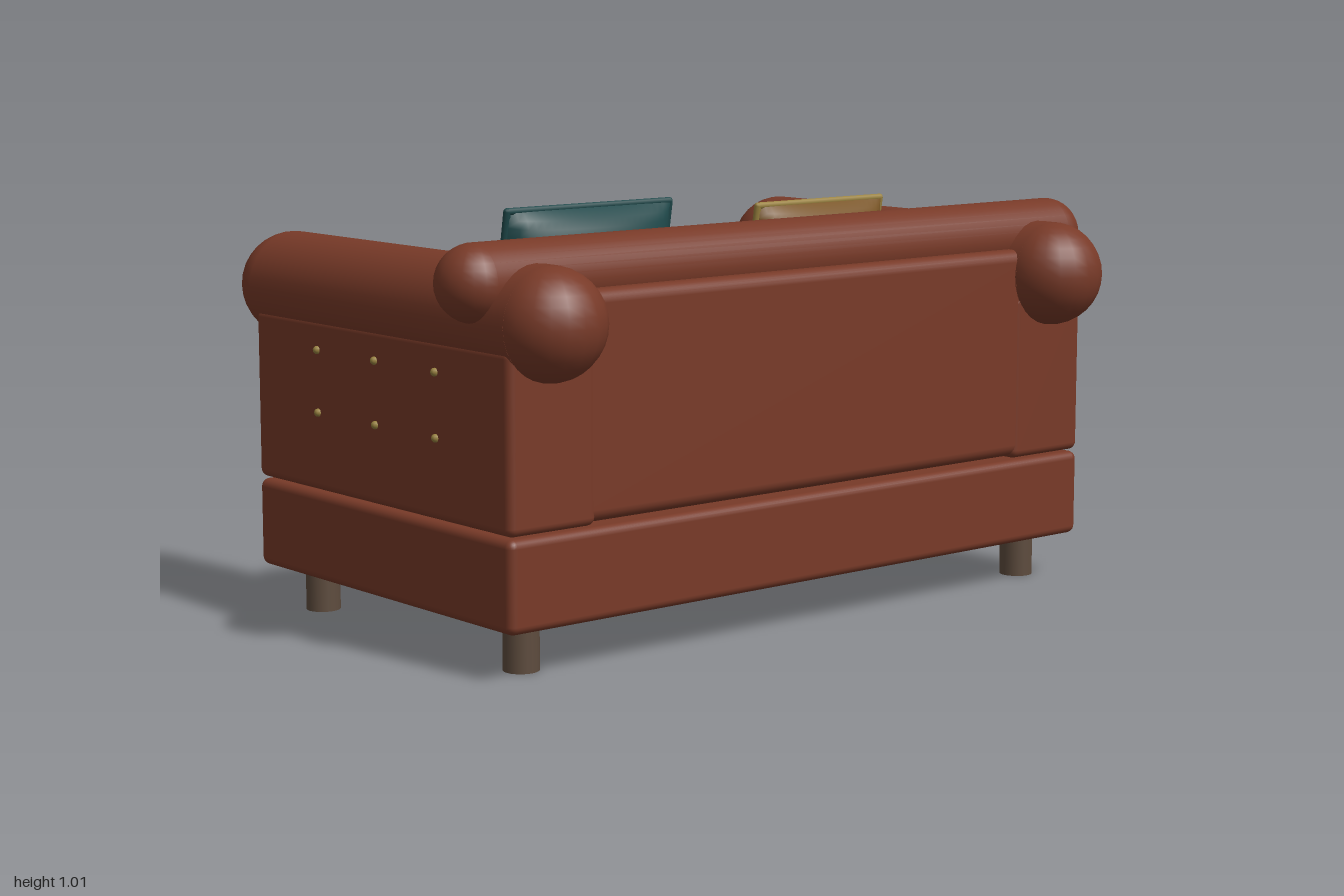
import * as THREE from 'three';
import { RoundedBoxGeometry } from 'three/addons/geometries/RoundedBoxGeometry.js';

const mat = (name, color, side = THREE.FrontSide) => {
  const m = new THREE.MeshStandardMaterial({ color, side });
  m.name = name;
  return m;
};

export function createModel() {
  const group = new THREE.Group();
  const leather = mat('brown leather', 0x783a28);
  const wood = mat('dark wood', 0x5e4c3e);
  const brass = mat('brass', 0x96803f);
  const teal = mat('teal fabric', 0x1f484a);
  const ochre = mat('ochre fabric', 0x7a5626);
  const gold = mat('gold piping', 0x9c8440);
  const paper = mat('paper', 0xc6c6c6);

  const add = (name, geo, material, x = 0, y = 0, z = 0, parent = group) => {
    const m = new THREE.Mesh(geo, material);
    m.name = name;
    m.position.set(x, y, z);
    parent.add(m);
    return m;
  };
  // Rounded block given by its minimum and maximum corners
  const block = (name, a, b, r) => add(name,
    new RoundedBoxGeometry(b[0] - a[0], b[1] - a[1], b[2] - a[2], 3, r), leather,
    (a[0] + b[0]) / 2, (a[1] + b[1]) / 2, (a[2] + b[2]) / 2);

  block('base', [-0.915, 0.11, -0.515], [0.915, 0.325, 0.515], 0.02);
  block('backrest', [-0.735, 0.335, 0.28], [0.735, 0.86, 0.513], 0.03);

  // Back roll along x with ball ends
  const roll = add('backRoll', new THREE.CylinderGeometry(0.09, 0.09, 1.82, 32), leather, 0, 0.882, 0.385);
  roll.rotation.z = Math.PI / 2;

  const studGeo = new THREE.SphereGeometry(0.01, 8, 6);
  for (const s of [-1, 1]) {
    const inner = s * 0.67, outer = s * 0.915;
    block('arm', [Math.min(inner, outer), 0.33, -0.515], [Math.max(inner, outer), 0.745, 0.515], 0.02);
    const armRoll = add('armRoll', new THREE.CylinderGeometry(0.13, 0.13, 1.03, 32), leather, s * 0.8, 0.795, 0);
    armRoll.rotation.x = Math.PI / 2;
    add('backRollEnd', new THREE.SphereGeometry(0.09, 20, 16), leather, s * 0.91, 0.882, 0.385);
    for (const e of [-1, 1]) {
      add('armRollEnd', new THREE.SphereGeometry(0.13, 20, 16), leather, s * 0.8, 0.795, e * 0.513);
      add('leg', new THREE.CylinderGeometry(0.042, 0.042, 0.12, 20), wood, s * 0.805, 0.06, e * 0.405);
    }
    // Studs on the outer side of the arm
    for (const y of [0.52, 0.67])
      for (const z of [-0.24, 0, 0.24]) add('armStud', studGeo, brass, s * 0.917, y, z);
    // Seat cushion
    const c = [s * 0.006, s * 0.665];
    block('seatCushion', [Math.min(...c), 0.33, -0.45], [Math.max(...c), 0.535, 0.27], 0.035);
  }

  // Row of studs along the seat front
  for (let i = -12; i <= 12; i++) add('baseStud', studGeo, brass, i * 0.074, 0.165, -0.516);

  // Diamond-tufted inner back
  const sx = 0.19, sy = 0.22, y0 = 0.67;
  const tuft = new THREE.PlaneGeometry(1.36, 0.4, 112, 40);
  tuft.rotateY(Math.PI);
  tuft.translate(0, 0.68, 0);
  const tp = tuft.attributes.position;
  for (let i = 0; i < tp.count; i++) {
    const u = tp.getX(i) / sx, v = (tp.getY(i) - y0) / sy;
    const f = Math.abs(Math.sin(Math.PI * (u + v)) * Math.sin(Math.PI * (u - v)));
    tp.setZ(i, 0.275 - 0.05 * Math.pow(f, 0.6));
  }
  tuft.computeVertexNormals();
  add('tuftedBack', tuft, leather);
  for (let r = -1; r <= 1; r++)
    for (let i = -3; i <= 3; i++) {
      const x = (i + (r ? 0.5 : 0)) * sx;
      if (Math.abs(x) < 0.66) add('tuftButton', studGeo, brass, x, y0 + r * sy / 2, 0.268);
    }

  // Puffed square pillow with piping and a dimpled centre
  const pillow = (name, w, h, t, x, y, z, cloth, trim) => {
    const g = new THREE.Group();
    g.name = name;
    const geo = new THREE.BoxGeometry(w, h, 0.02, 24, 24, 1);
    const p = geo.attributes.position;
    for (let i = 0; i < p.count; i++) {
      const u = p.getX(i) / (w / 2), v = p.getY(i) / (h / 2);
      const puff = Math.sqrt(Math.max(0, (1 - u * u) * (1 - v * v)));
      const dimple = 0.25 * Math.exp(-(u * u + v * v) * 30);
      p.setZ(i, Math.sign(p.getZ(i)) * (0.006 + t * puff * (1 - dimple)));
    }
    geo.computeVertexNormals();
    add('pillowBody', geo, cloth, 0, 0, 0, g);
    for (const s of [-1, 1]) {
      add('piping', new THREE.CylinderGeometry(0.009, 0.009, h, 8), trim, s * w / 2, 0, 0, g);
      add('piping', new THREE.CylinderGeometry(0.009, 0.009, w, 8), trim, 0, s * h / 2, 0, g).rotation.z = Math.PI / 2;
      for (const e of [-1, 1])
        add('pipingCorner', new THREE.SphereGeometry(0.009, 8, 6), trim, s * w / 2, e * h / 2, 0, g);
      add('pillowButton', new THREE.SphereGeometry(0.012, 8, 6), cloth, 0, 0, s * t * 0.78, g);
    }
    g.position.set(x, y, z);
    g.rotation.x = 0.17;
    group.add(g);
  };
  pillow('tealPillow', 0.495, 0.455, 0.1, -0.325, 0.773, 0.015, teal, teal);
  pillow('ochrePillow', 0.425, 0.405, 0.09, 0.43, 0.768, 0.015, ochre, gold);

  // Loose sheet lying on the seat
  const sheet = add('paperSheet', new THREE.BoxGeometry(0.38, 0.008, 0.275), paper, 0.1, 0.55, -0.196);
  sheet.rotation.set(0, -0.26, 0.05);

  return group;
}
